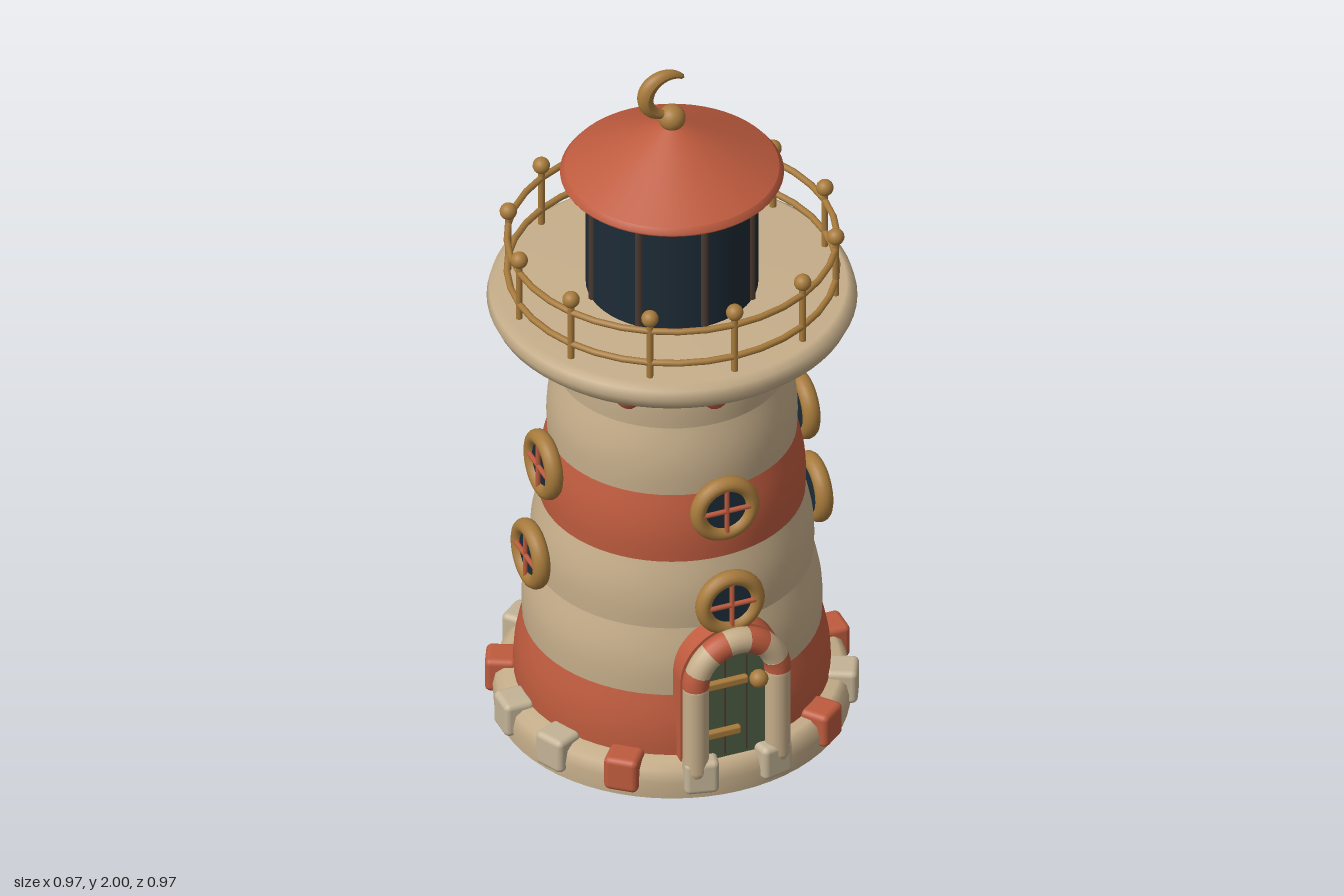
import * as THREE from 'three';
import { RoundedBoxGeometry } from 'three/addons/geometries/RoundedBoxGeometry.js';

const mat = (name, color) => {
  const m = new THREE.MeshStandardMaterial({ color });
  m.name = name;
  return m;
};

export function createModel() {
  const cream = mat('cream plaster', 0xc6ae8a);
  const stone = mat('pale stone', 0xc4b497);
  const red = mat('brick red', 0xbe5b3e);
  const gold = mat('old brass', 0xa87b3c);
  const glass = mat('dark glass', 0x1d2b36);
  const brown = mat('dark brown', 0x4b3a31);
  const green = mat('door green', 0x4b5b42);

  const model = new THREE.Group();
  model.name = 'lighthouse';
  const root = new THREE.Group();
  root.name = 'building';
  root.position.z = -0.005;
  model.add(root);

  const add = (parent, name, geometry, material, x = 0, y = 0, z = 0) => {
    const mesh = new THREE.Mesh(geometry, material);
    mesh.name = name;
    mesh.position.set(x, y, z);
    parent.add(mesh);
    return mesh;
  };
  const lathe = (points, segments = 64) =>
    new THREE.LatheGeometry(points.map(([r, y]) => new THREE.Vector2(r, y)), segments);
  // group on a circle whose local +z points outward
  const around = (name, i, n, r, y) => {
    const a = (i / n) * Math.PI * 2;
    const g = new THREE.Group();
    g.name = name;
    g.position.set(Math.cos(a) * r, y, Math.sin(a) * r);
    g.rotation.y = Math.PI / 2 - a;
    root.add(g);
    return g;
  };

  // Foundation; repeated profile points make sharp edges
  add(root, 'foundation', lathe([
    [0, 0], [0.465, 0], [0.465, 0], [0.468, 0.05], [0.46, 0.085], [0.44, 0.1], [0.38, 0.105],
  ]), cream);
  const blockGeo = new RoundedBoxGeometry(0.092, 0.1, 0.085, 3, 0.016);
  for (let i = 0; i < 14; i++) {
    const isRed = i === 0 || i % 3 === 2;
    add(around('foundationBlock', i, 14, 0.444, 0.07), 'block', blockGeo, isRed ? red : stone);
  }

  // Tower of six gently bulging bands
  const towerRadius = (y) => 0.412 - (y - 0.08) * 0.109;
  const bandHeight = 0.1975;
  [red, cream, cream, red, cream, cream].forEach((material, b) => {
    const points = [];
    for (let k = 0; k <= 8; k++) {
      const t = k / 8;
      const y = 0.08 + (b + t) * bandHeight;
      points.push([towerRadius(y) + 0.01 * Math.sin(Math.PI * t), y]);
    }
    add(root, 'towerBand', lathe(points), material);
  });

  // Round windows, two rows on four sides
  const ringGeo = new THREE.TorusGeometry(0.075, 0.021, 14, 36);
  const paneGeo = new THREE.CylinderGeometry(0.076, 0.076, 0.03, 32).rotateX(Math.PI / 2);
  const barGeo = new THREE.CylinderGeometry(0.007, 0.007, 0.15, 8);
  for (const [y, r] of [[0.56, 0.398], [0.835, 0.362]]) {
    for (let i = 0; i < 4; i++) {
      const w = around('window', i, 4, r, y);
      add(w, 'windowRing', ringGeo, gold).scale.z = 1.15;
      add(w, 'windowPane', paneGeo, glass, 0, 0, -0.006);
      add(w, 'windowBarUpright', barGeo, red, 0, 0, 0.015);
      add(w, 'windowBarAcross', barGeo, red, 0, 0, 0.015).rotation.z = Math.PI / 2;
    }
  }

  // Corbels under the gallery
  const corbelGeo = new THREE.SphereGeometry(1, 20, 16).scale(0.05, 0.09, 0.038);
  for (let i = 0; i < 8; i++) {
    add(around('corbel', i, 8, 0.298, 1.203), 'corbelKnob', corbelGeo, red);
  }

  // Gallery deck
  add(root, 'gallery', lathe([
    [0, 1.235], [0.45, 1.235], [0.47, 1.253], [0.483, 1.28], [0.476, 1.306], [0.455, 1.32], [0, 1.33],
  ]), cream);

  // Railing
  const postGeo = new THREE.CylinderGeometry(0.009, 0.009, 0.18, 10);
  const ballGeo = new THREE.SphereGeometry(0.023, 16, 12);
  for (let i = 0; i < 12; i++) {
    const p = around('railingPost', i, 12, 0.43, 1.41);
    add(p, 'post', postGeo, gold);
    add(p, 'postBall', ballGeo, gold, 0, 0.095, 0);
  }
  const railGeo = new THREE.TorusGeometry(0.43, 0.009, 8, 36).rotateX(Math.PI / 2);
  for (const y of [1.365, 1.465]) add(root, 'handrail', railGeo, gold, 0, y, 0);

  // Lantern room
  add(root, 'lanternGlass', new THREE.CylinderGeometry(0.225, 0.225, 0.35, 48), glass, 0, 1.5, 0);
  const mullionGeo = new THREE.CylinderGeometry(0.011, 0.011, 0.34, 8);
  for (let i = 0; i < 8; i++) {
    add(around('mullion', i, 8, 0.224, 1.5), 'mullionBar', mullionGeo, brown);
  }

  // Roof
  add(root, 'roof', lathe([
    [0, 1.668], [0.288, 1.668], [0.288, 1.668], [0.292, 1.675], [0.28, 1.69],
    [0.28, 1.69], [0.15, 1.759], [0.03, 1.822], [0, 1.832],
  ]), red);

  // Finial ball and tapering crescent
  add(root, 'finialBall', new THREE.SphereGeometry(0.036, 24, 16), gold, 0, 1.845, 0);
  class Arc extends THREE.Curve {
    getPoint(t, target = new THREE.Vector3()) {
      const a = THREE.MathUtils.degToRad(42 + 243 * t);
      return target.set(-0.012 + 0.063 * Math.cos(a), 1.922 + 0.061 * Math.sin(a), 0);
    }
  }
  const arc = new Arc();
  const steps = 32, sides = 12;
  const crescentGeo = new THREE.TubeGeometry(arc, steps, 0.022, sides, false);
  const pos = crescentGeo.attributes.position;
  const v = new THREE.Vector3();
  for (let i = 0; i <= steps; i++) {
    const t = i / steps;
    const centre = arc.getPointAt(t);
    const s = i === 0 || i === steps ? 0 : 0.25 + 0.75 * Math.sin(Math.PI * t);
    for (let j = 0; j <= sides; j++) {
      const k = i * (sides + 1) + j;
      v.fromBufferAttribute(pos, k).sub(centre).multiplyScalar(s).add(centre);
      pos.setXYZ(k, v.x, v.y, v.z);
    }
  }
  crescentGeo.computeVertexNormals();
  add(root, 'crescent', crescentGeo, gold);

  // Doorway: backing frame, door leaf, arch of alternating stones
  const door = new THREE.Group();
  door.name = 'doorway';
  root.add(door);
  const archSlab = (halfWidth, bottom, depth) => {
    const s = new THREE.Shape();
    s.moveTo(-halfWidth, bottom);
    s.lineTo(halfWidth, bottom);
    s.lineTo(halfWidth, 0.35);
    s.absarc(0, 0.35, halfWidth, 0, Math.PI, false);
    s.closePath();
    return new THREE.ExtrudeGeometry(s, { depth, bevelEnabled: false, curveSegments: 24 });
  };
  add(door, 'doorBacking', archSlab(0.146, 0.06, 0.09), red, 0, 0, 0.325);
  add(door, 'doorLeaf', archSlab(0.09, 0.07, 0.03), green, 0, 0, 0.407);
  for (const x of [-0.03, 0.03]) {
    add(door, 'plankGroove', new THREE.BoxGeometry(0.005, 0.3, 0.004), brown, x, 0.26, 0.437);
  }
  const legGeo = new THREE.CapsuleGeometry(0.034, 0.25, 6, 16);
  for (const side of [-1, 1]) add(door, 'doorPost', legGeo, cream, side * 0.115, 0.215, 0.443);
  const cuts = [0, 20, 52, 76, 104, 128, 160, 180];
  for (let i = 0; i < cuts.length - 1; i++) {
    const isRed = i % 2 === 0 && i !== 3;
    const span = THREE.MathUtils.degToRad(cuts[i + 1] - cuts[i]);
    const geo = new THREE.TorusGeometry(0.115, isRed ? 0.036 : 0.035, 16, 8, span);
    geo.rotateZ(THREE.MathUtils.degToRad(cuts[i]));
    add(door, 'archStone', geo, isRed ? red : cream, 0, 0.35, 0.443);
  }

  // Hinges and knob
  add(door, 'lowerHinge', new RoundedBoxGeometry(0.1, 0.024, 0.02, 2, 0.006), gold, -0.04, 0.185, 0.445);
  add(door, 'upperHinge', new RoundedBoxGeometry(0.12, 0.024, 0.02, 2, 0.006), gold, -0.03, 0.34, 0.445);
  add(door, 'doorKnob', new THREE.SphereGeometry(0.025, 16, 12), gold, 0.055, 0.342, 0.462);

  return model;
}
